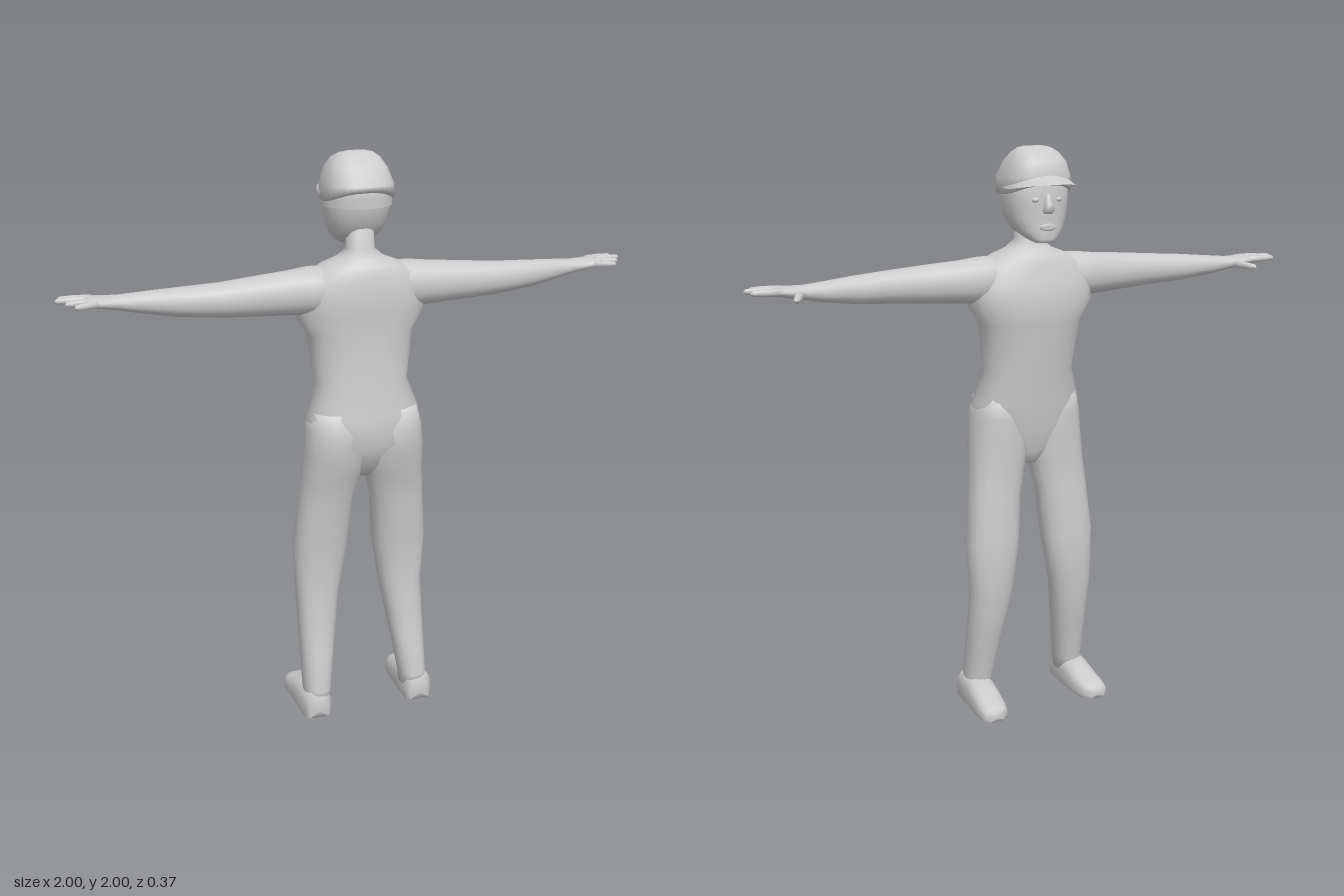
import * as THREE from 'three';

const material = new THREE.MeshStandardMaterial({ color: 0xcccccc, side: THREE.DoubleSide });

// Places a cross-section point (a, b) at distance t along the chosen axis
const place = {
  x: (t, a, b) => [t, a, b],
  y: (t, a, b) => [a, t, b],
  z: (t, a, b) => [a, b, t],
};

// Closed skin through oval sections [t, aMin, aMax, bMin, bMax]
function loft(axis, rings, { power = 2.2, sides = 20, mirror = 1, adjust = p => p } = {}) {
  const pos = [], idx = [];
  const push = (t, a, b) => {
    const p = adjust(place[axis](t, a, b));
    pos.push(p[0] * mirror, p[1], p[2]);
  };
  const bend = c => Math.sign(c) * Math.abs(c) ** (2 / power);
  for (const [t, a0, a1, b0, b1] of rings) {
    for (let i = 0; i < sides; i++) {
      const q = i / sides * Math.PI * 2;
      push(t, (a0 + a1) / 2 + (a1 - a0) / 2 * bend(Math.cos(q)),
        (b0 + b1) / 2 + (b1 - b0) / 2 * bend(Math.sin(q)));
    }
  }
  const last = (rings.length - 1) * sides;
  for (const [t, a0, a1, b0, b1] of [rings[0], rings[rings.length - 1]]) push(t, (a0 + a1) / 2, (b0 + b1) / 2);
  const c0 = last + sides, c1 = c0 + 1;
  for (let i = 0; i < sides; i++) {
    const j = (i + 1) % sides;
    for (let r = 0; r < last; r += sides) {
      idx.push(r + i, r + j, r + sides + i, r + j, r + sides + j, r + sides + i);
    }
    idx.push(c0, j, i, c1, last + i, last + j);
  }
  // Turn the faces outward whichever axis or side was used
  const P = k => new THREE.Vector3().fromArray(pos, k * 3);
  let volume = 0;
  for (let k = 0; k < idx.length; k += 3) volume += P(idx[k]).dot(P(idx[k + 1]).cross(P(idx[k + 2])));
  if (volume < 0) idx.reverse();
  const g = new THREE.BufferGeometry();
  g.setAttribute('position', new THREE.Float32BufferAttribute(pos, 3));
  g.setIndex(idx);
  g.computeVertexNormals();
  return g;
}

function add(parent, name, geometry) {
  const m = new THREE.Mesh(geometry, material);
  m.name = name;
  parent.add(m);
  return m;
}

// Section symmetric about x = 0
const sym = (y, w, z0, z1) => [y, -w, w, z0, z1];

// Curved cap peak, drooping at the sides
function peakGeometry() {
  const g = new THREE.PlaneGeometry(2, 1, 20, 4), p = g.attributes.position;
  for (let i = 0; i < p.count; i++) {
    const q = p.getX(i) * 1.5, v = p.getY(i) + 0.5, c = Math.cos(q);
    p.setXYZ(i, 0.119 * Math.sin(q), 1.865 + 0.045 * c - v * (0.004 + 0.023 * c),
      -0.11 * c - v * 0.077 * Math.sqrt(c));
  }
  g.computeVertexNormals();
  return g;
}

function buildHead(root) {
  const head = new THREE.Group();
  head.name = 'head';
  root.add(head);
  add(head, 'skull', loft('y', [
    sym(1.688, 0.03, -0.1, -0.06), sym(1.7, 0.052, -0.107, -0.02), sym(1.73, 0.083, -0.106, 0.055),
    sym(1.77, 0.102, -0.104, 0.088), sym(1.82, 0.11, -0.106, 0.1), sym(1.87, 0.113, -0.106, 0.108),
    sym(1.93, 0.095, -0.09, 0.09),
  ], { power: 2.4, sides: 24 }));
  add(head, 'nose', loft('y', [
    sym(1.784, 0.014, -0.115, -0.09), sym(1.797, 0.02, -0.132, -0.09),
    sym(1.815, 0.014, -0.127, -0.09), sym(1.85, 0.009, -0.11, -0.09),
  ], { sides: 10 }));
  add(head, 'lips', loft('y', [
    sym(1.728, 0.02, -0.108, -0.08), sym(1.735, 0.033, -0.112, -0.08),
    sym(1.74, 0.034, -0.108, -0.08), sym(1.745, 0.033, -0.113, -0.08), sym(1.752, 0.015, -0.108, -0.08),
  ], { sides: 12 }));
  for (const s of [1, -1]) {
    const eye = add(head, 'eye', new THREE.SphereGeometry(0.014, 12, 8));
    eye.position.set(s * 0.042, 1.83, -0.094);
    eye.scale.y = 0.7;
  }

  // Cap crown, its hem raised at front and back
  add(head, 'capCrown', loft('y', [
    sym(1.845, 0.119, -0.112, 0.12), sym(1.9, 0.117, -0.118, 0.125), sym(1.95, 0.1, -0.105, 0.09),
    sym(1.98, 0.08, -0.068, 0.052), sym(1.995, 0.058, -0.035, 0.028), sym(2, 0.035, -0.018, 0.014),
  ], {
    power: 2.6, sides: 32,
    adjust: ([x, y, z]) => [x, y < 1.86 ? y + 0.038 * (z / 0.12) ** 2 : y, z],
  }));
  add(head, 'capPeak', peakGeometry());
  const strap = add(head, 'capStrap', new THREE.CylinderGeometry(1, 1, 0.026, 20, 1, true, -1.5, 3));
  strap.scale.set(0.118, 1, 0.122);
  strap.position.y = 1.843;
}

function buildArm(root, mirror) {
  const arm = new THREE.Group();
  arm.name = mirror > 0 ? 'leftArm' : 'rightArm';
  root.add(arm);
  add(arm, 'armAndPalm', loft('x', [
    [0.08, 1.5, 1.64, -0.03, 0.12], [0.18, 1.48, 1.638, -0.045, 0.125], [0.25, 1.485, 1.63, -0.03, 0.113],
    [0.36, 1.492, 1.622, -0.018, 0.115], [0.48, 1.5, 1.612, -0.005, 0.115], [0.62, 1.51, 1.603, -0.012, 0.09],
    [0.74, 1.528, 1.593, -0.022, 0.06], [0.8, 1.54, 1.588, -0.025, 0.048], [0.85, 1.55, 1.588, -0.037, 0.058],
    [0.89, 1.558, 1.59, -0.04, 0.068], [0.905, 1.566, 1.588, -0.034, 0.062],
  ], { mirror }));
  // Finger: base x, y, z then tip x, y, z, then radius
  const fingers = {
    indexFinger: [0.88, 1.575, -0.025, 0.985, 1.578, -0.036, 0.012],
    middleFinger: [0.88, 1.578, 0.003, 0.998, 1.58, 0.002, 0.012],
    ringFinger: [0.88, 1.577, 0.03, 0.97, 1.578, 0.046, 0.012],
    littleFinger: [0.87, 1.573, 0.053, 0.945, 1.574, 0.082, 0.011],
    thumb: [0.82, 1.563, -0.01, 0.862, 1.555, -0.1, 0.013],
  };
  for (const [name, [x0, y0, z0, x1, y1, z1, r]] of Object.entries(fingers)) {
    const from = new THREE.Vector3(x0 * mirror, y0, z0), to = new THREE.Vector3(x1 * mirror, y1, z1);
    const L = from.distanceTo(to);
    const profile = [[0, 0], [r * 1.1, 0.001], [r, L * 0.55], [r * 0.75, L * 0.92], [0, L]];
    const finger = add(arm, name, new THREE.LatheGeometry(profile.map(p => new THREE.Vector2(...p)), 10));
    finger.position.copy(from);
    finger.quaternion.setFromUnitVectors(new THREE.Vector3(0, 1, 0), to.sub(from).normalize());
  }
}

function buildLeg(root, mirror) {
  const leg = new THREE.Group();
  leg.name = mirror > 0 ? 'leftLeg' : 'rightLeg';
  root.add(leg);
  add(leg, 'trouserLeg', loft('y', [
    [0.05, 0.14, 0.232, 0.03, 0.15], [0.1, 0.135, 0.235, 0.03, 0.155], [0.25, 0.112, 0.235, -0.002, 0.126],
    [0.45, 0.08, 0.236, -0.045, 0.092], [0.63, 0.05, 0.245, -0.043, 0.106], [0.8, 0.037, 0.228, -0.03, 0.125],
    [0.9, 0.014, 0.218, -0.026, 0.145], [1.0, -0.01, 0.211, -0.03, 0.178], [1.08, -0.01, 0.204, -0.03, 0.178],
    [1.15, 0.02, 0.188, -0.025, 0.16],
  ], { mirror, power: 2.3 }));
  // Shoe with a flat sole
  add(leg, 'shoe', loft('z', [
    [0.156, 0.16, 0.23, -0.03, 0.08], [0.14, 0.143, 0.248, -0.04, 0.1], [0.04, 0.14, 0.253, -0.04, 0.1],
    [-0.03, 0.142, 0.255, -0.04, 0.073], [-0.08, 0.148, 0.256, -0.03, 0.056],
    [-0.11, 0.16, 0.25, -0.02, 0.046], [-0.121, 0.18, 0.232, -0.01, 0.035],
  ], { mirror, power: 2.6, adjust: ([x, y, z]) => [x, Math.max(0, y), z] }));
}

export function createModel() {
  const root = new THREE.Group();
  root.name = 'figure';
  add(root, 'torsoAndNeck', loft('y', [
    sym(0.9, 0.025, 0.01, 0.1), sym(0.95, 0.09, -0.015, 0.14), sym(1.03, 0.19, -0.033, 0.183),
    sym(1.13, 0.199, -0.045, 0.178), sym(1.24, 0.161, -0.062, 0.155), sym(1.41, 0.186, -0.085, 0.145),
    sym(1.48, 0.228, -0.095, 0.15), sym(1.55, 0.225, -0.08, 0.15), sym(1.61, 0.19, -0.062, 0.142),
    sym(1.64, 0.135, -0.05, 0.128), sym(1.662, 0.08, -0.025, 0.105), sym(1.69, 0.047, -0.002, 0.083),
    sym(1.78, 0.045, -0.01, 0.078),
  ], { power: 2.3, sides: 28 }));
  buildHead(root);
  for (const mirror of [1, -1]) {
    buildArm(root, mirror);
    buildLeg(root, mirror);
  }
  return root;
}
